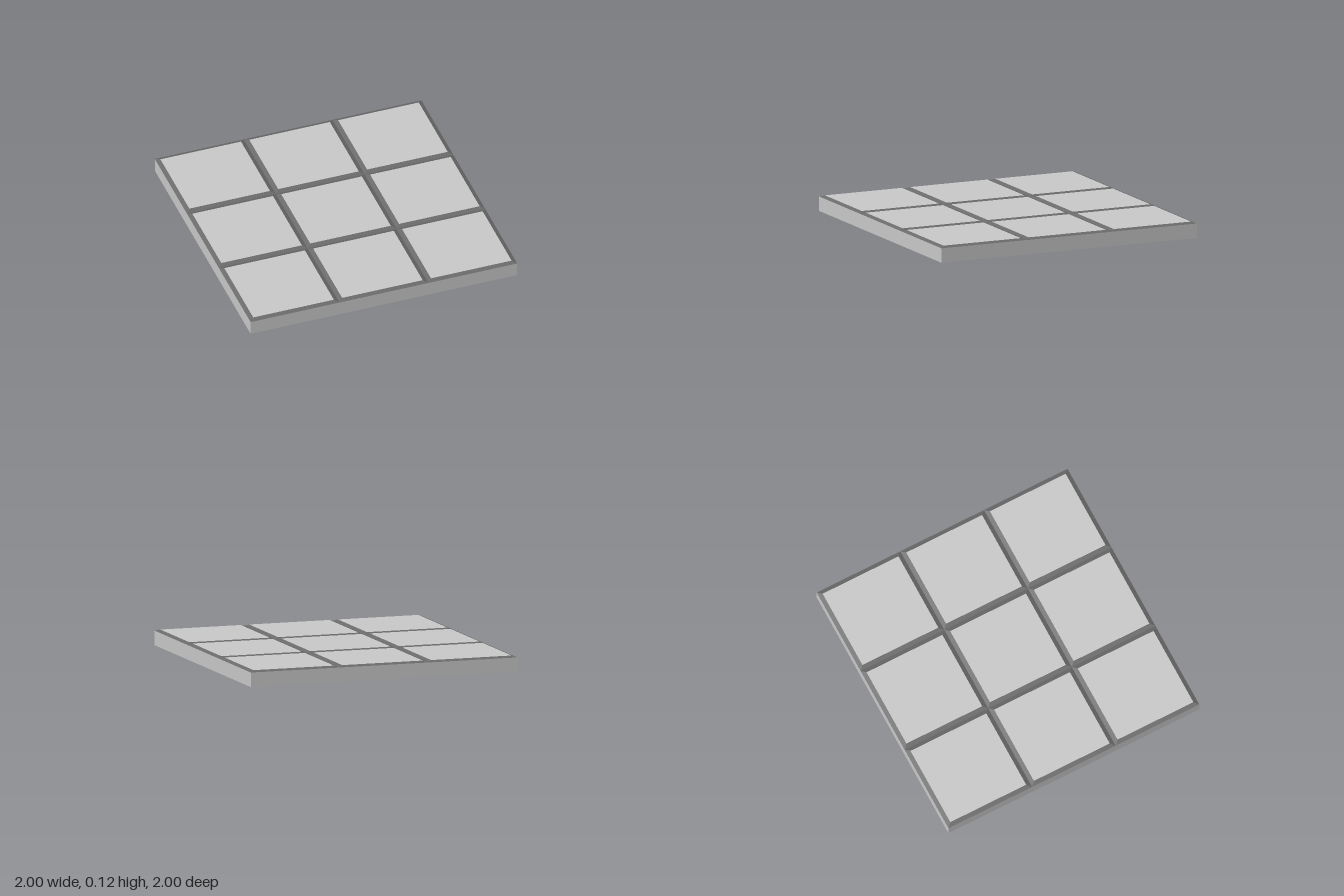
import * as THREE from 'three';

const BASE_TOP = 0.104, TILE_TOP = 0.115, TILE = 2 / 3, BEVEL = 0.031;

export function createModel() {
  const model = new THREE.Group();
  model.name = 'tiledSlab';
  const light = new THREE.MeshStandardMaterial({ color: 0xcccccc });
  const dark = new THREE.MeshStandardMaterial({ color: 0x6b6b6b, flatShading: true });

  // Square slab under the tiles
  const slab = new THREE.Mesh(new THREE.BoxGeometry(2, BASE_TOP, 2), light);
  slab.name = 'slab';
  slab.position.y = BASE_TOP / 2;
  model.add(slab);

  // Sloped rim of a tile: an open four-sided frustum, turned square to the axes
  const height = TILE_TOP - BASE_TOP;
  const face = TILE - 2 * BEVEL;
  const rimGeometry = new THREE.CylinderGeometry(face * Math.SQRT1_2, TILE * Math.SQRT1_2, height, 4, 1, true)
    .rotateY(Math.PI / 4)
    .translate(0, BASE_TOP + height / 2, 0);

  // Flat upper face of a tile
  const faceGeometry = new THREE.PlaneGeometry(face, face)
    .rotateX(-Math.PI / 2)
    .translate(0, TILE_TOP, 0);

  // Three by three grid of tiles
  for (let row = -1; row <= 1; row++) {
    for (let column = -1; column <= 1; column++) {
      const tile = new THREE.Group();
      tile.name = 'tile';
      const rim = new THREE.Mesh(rimGeometry, dark);
      rim.name = 'tileBevel';
      const top = new THREE.Mesh(faceGeometry, light);
      top.name = 'tileFace';
      tile.add(rim, top);
      tile.position.set(column * TILE, 0, row * TILE);
      model.add(tile);
    }
  }
  return model;
}
